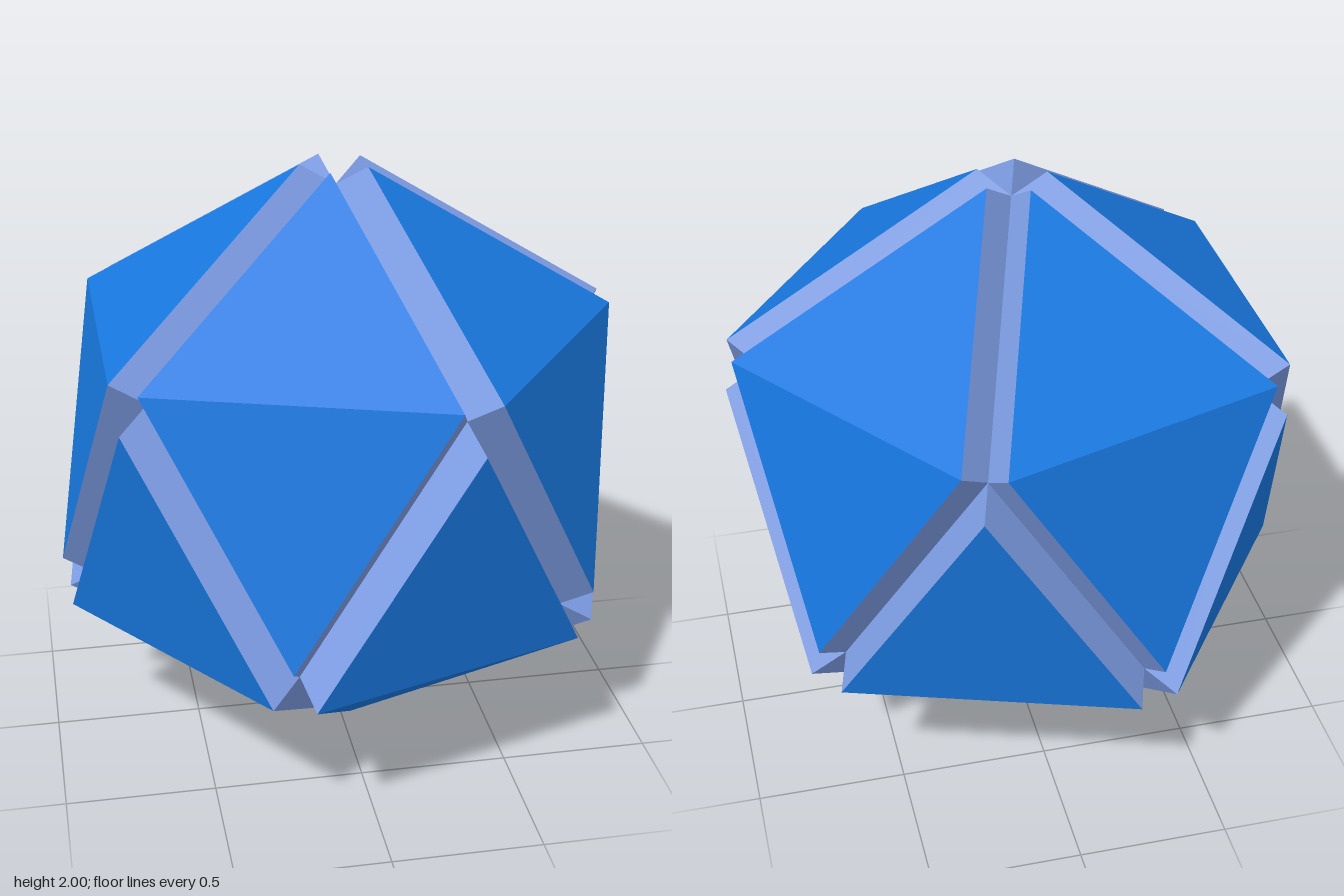
import * as THREE from 'three';

const R = 0.928;       // circumradius of the inner icosahedron
const SHIFT = 0.137;   // how far each block is raised above it

// Corner of the inner icosahedron, from height and angle around y
function corner(y, angle) {
  const r = Math.sqrt(Math.max(0, R * R - y * y));
  return new THREE.Vector3(r * Math.cos(angle), y, r * Math.sin(angle));
}

function facets(triangles) {
  const geometry = new THREE.BufferGeometry().setFromPoints(triangles.flat());
  geometry.computeVertexNormals();
  return geometry;
}

export function createModel() {
  const model = new THREE.Group();
  model.name = 'splitIcosahedron';
  const faceMaterial = new THREE.MeshStandardMaterial({ color: 0x1878e0, flatShading: true });
  const wallMaterial = new THREE.MeshStandardMaterial({ color: 0x7e9ee6, flatShading: true });

  // One block: two neighbouring faces, raised along their shared edge's direction
  const ringY = R / Math.sqrt(5);
  const inner = [
    corner(R, 0),                   // pole
    corner(ringY, Math.PI / 5),     // ends of the shared edge, 1 and 3
    corner(-ringY, 0),              // far tip
    corner(ringY, -Math.PI / 5),
  ];
  const raise = inner[1].clone().add(inner[3]).setLength(SHIFT);
  const outer = inner.map((p) => p.clone().add(raise));

  const faceGeometry = facets([
    [outer[0], outer[1], outer[3]],
    [outer[1], outer[2], outer[3]],
  ]);

  // Groove walls from the raised rim down to the inner edges
  const wallTriangles = [];
  for (let i = 0; i < 4; i++) {
    const j = (i + 1) % 4;
    wallTriangles.push([inner[i], inner[j], outer[j]], [inner[i], outer[j], outer[i]]);
  }
  const wallGeometry = facets(wallTriangles);

  // Five upper blocks, and five turned over between them
  for (let k = 0; k < 10; k++) {
    const lower = k % 2 === 1;
    const block = new THREE.Group();
    block.name = lower ? 'lowerBlock' : 'upperBlock';
    const faces = new THREE.Mesh(faceGeometry, faceMaterial);
    faces.name = 'outerFaces';
    const walls = new THREE.Mesh(wallGeometry, wallMaterial);
    walls.name = 'grooveWalls';
    block.add(faces, walls);
    block.rotation.set(lower ? Math.PI : 0, (k + 1) * Math.PI / 5, 0, 'YXZ');
    block.position.y = 1;
    model.add(block);
  }
  return model;
}
